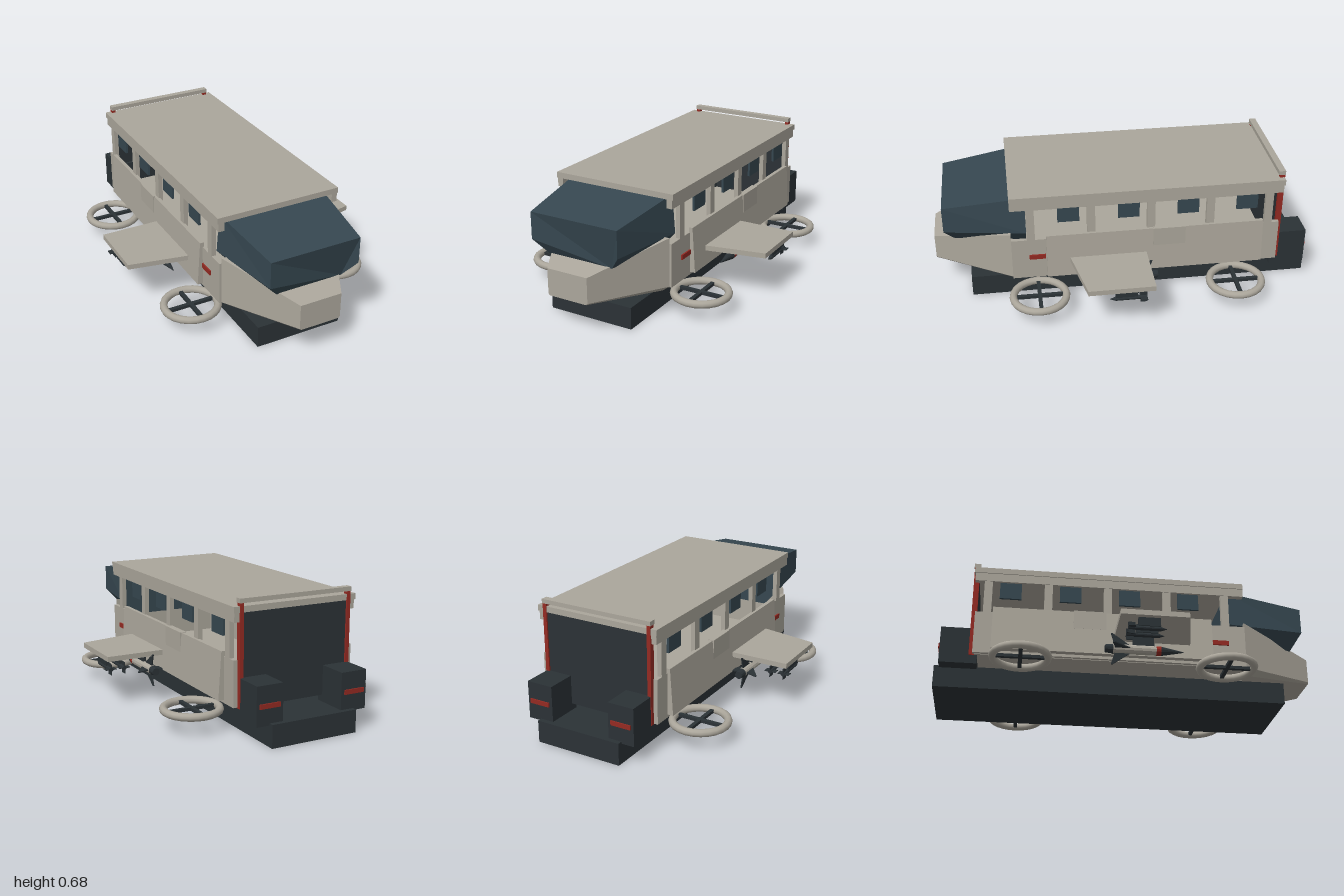
import * as THREE from 'three';

const mat = (color, extra = {}) => new THREE.MeshStandardMaterial({ color, ...extra });
const hull = mat(0xaba69b, { flatShading: true });
const smoothHull = mat(0xaba69b);
const dark = mat(0x2b3236, { flatShading: true });
const glass = mat(0x364750, { flatShading: true });
const red = mat(0x942a22, { flatShading: true });

function add(parent, name, geometry, material) {
  const mesh = new THREE.Mesh(geometry, material);
  mesh.name = name;
  parent.add(mesh);
  return mesh;
}

// Box given by its limits on each axis
function box(parent, name, material, [x0, x1], [y0, y1], [z0, z1]) {
  const mesh = add(parent, name, new THREE.BoxGeometry(x1 - x0, y1 - y0, z1 - z0), material);
  mesh.position.set((x0 + x1) / 2, (y0 + y1) / 2, (z0 + z1) / 2);
  return mesh;
}

// Closed solid between two symmetric sections; each lists its +x points from bottom to top
function loft(back, front) {
  const ring = half => [...half, ...[...half].reverse().map(([x, y, z]) => [-x, y, z])];
  const a = ring(back), b = ring(front), n = a.length, v = [];
  for (let i = 0; i < n; i++) {
    const j = (i + 1) % n;
    v.push(...a[i], ...a[j], ...b[j], ...a[i], ...b[j], ...b[i]);
  }
  for (let i = 1; i < n - 1; i++) {
    v.push(...b[0], ...b[i], ...b[i + 1], ...a[0], ...a[i + 1], ...a[i]);
  }
  const g = new THREE.BufferGeometry();
  g.setAttribute('position', new THREE.Float32BufferAttribute(v, 3));
  g.computeVertexNormals();
  return g;
}

// Flat outline pushed out to a depth
function slab(points, depth) {
  const shape = new THREE.Shape(points.map(p => new THREE.Vector2(...p)));
  return new THREE.ExtrudeGeometry(shape, { depth, bevelEnabled: false });
}

// Cylinder or cone along z, with the front radius at z1
function rod(parent, name, material, rFront, rBack, z0, z1) {
  const g = new THREE.CylinderGeometry(rFront, rBack, z1 - z0, 12).rotateX(Math.PI / 2);
  add(parent, name, g, material).position.z = (z0 + z1) / 2;
}

function liftFan(z) {
  const fan = new THREE.Group();
  fan.name = 'liftFan';
  fan.position.set(0.427, 0.1, z);
  add(fan, 'fanRing', new THREE.TorusGeometry(0.138, 0.02, 10, 24).rotateX(Math.PI / 2), smoothHull);
  box(fan, 'fanBar', dark, [-0.13, 0.13], [-0.008, 0.008], [-0.01, 0.01]);
  box(fan, 'fanCrossBar', dark, [-0.01, 0.01], [-0.008, 0.008], [-0.13, 0.13]);
  return fan;
}

function largeMissile() {
  const m = new THREE.Group();
  m.name = 'largeMissile';
  m.position.set(0.418, 0.175, 0);
  rod(m, 'missileNose', dark, 0.002, 0.024, 0.135, 0.25);
  rod(m, 'missileBand', red, 0.024, 0.024, 0.11, 0.135);
  rod(m, 'missileBody', hull, 0.024, 0.024, -0.11, 0.11);
  rod(m, 'missileTail', dark, 0.024, 0.02, -0.15, -0.11);
  // Swept fins around the tail
  for (let i = 0; i < 4; i++) {
    const fin = slab([[0.02, 0.02], [0.085, 0.11], [0.085, 0.12], [0.02, 0.1]], 0.006);
    fin.translate(0, 0, -0.003).rotateX(-Math.PI / 2).rotateZ(i * Math.PI / 2);
    // Outline y now runs toward the tail
    add(m, 'missileFin', fin, dark);
  }
  box(m, 'missilePylon', dark, [-0.008, 0.008], [0.015, 0.077], [-0.01, 0.1]);
  return m;
}

function smallMissile(x) {
  const m = new THREE.Group();
  m.name = 'smallMissile';
  m.position.set(x, 0.193, 0.03);
  rod(m, 'smallMissileNose', dark, 0.001, 0.011, 0.07, 0.1);
  rod(m, 'smallMissileBody', dark, 0.011, 0.011, -0.09, 0.07);
  box(m, 'smallMissileFin', dark, [-0.03, 0.03], [-0.002, 0.002], [-0.09, -0.055]);
  box(m, 'smallMissileFin', dark, [-0.002, 0.002], [-0.03, 0.03], [-0.09, -0.055]);
  box(m, 'smallMissilePylon', dark, [-0.01, 0.01], [0.01, 0.06], [-0.04, 0.07]);
  return m;
}

// Everything on the +x half
function buildSide() {
  const side = new THREE.Group();

  // Lower wall, window posts, panes and rail
  box(side, 'lowerWall', hull, [0.31, 0.332], [0.155, 0.385], [-0.81, 0.6]);
  box(side, 'roofRail', hull, [0.305, 0.335], [0.565, 0.612], [-0.82, 0.6]);
  for (let i = 0; i < 5; i++) {
    const z = 0.498 - i * 0.312;
    box(side, 'windowPost', hull, [0.308, 0.332], [0.38, 0.57], [z - 0.021, z + 0.021]);
    if (i < 4) box(side, 'windowPane', glass, [0.31, 0.322], [0.475, 0.565], [z - 0.252, z - 0.14]);
  }

  // Flared armour skirt with its hatch
  const skirt = slab([[0.325, 0.17], [0.362, 0.17], [0.346, 0.41], [0.325, 0.41]], 1.14);
  add(side, 'sideSkirt', skirt.translate(0, 0, -0.72), hull);
  box(side, 'sideHatch', hull, [0.32, 0.353], [0.31, 0.412], [-0.305, -0.135]);
  box(side, 'sideLight', red, [0.325, 0.34], [0.27, 0.295], [0.425, 0.51]);

  // Wing with a swept leading edge
  const wing = slab([[0.33, 0.1], [0.665, 0.1], [0.665, -0.24], [0.33, -0.305]].reverse(), 0.027);
  add(side, 'wing', wing.rotateX(-Math.PI / 2).translate(0, 0.248, 0), hull);
  side.add(largeMissile(), smallMissile(0.555), smallMissile(0.63));
  side.add(liftFan(0.47), liftFan(-0.57));

  // Tail post, rear box and lamp
  box(side, 'rearPost', red, [0.288, 0.308], [0.15, 0.657], [-0.828, -0.8]);
  box(side, 'rearBox', dark, [0.163, 0.305], [0.105, 0.3], [-0.975, -0.785]);
  box(side, 'rearLamp', red, [0.18, 0.29], [0.19, 0.213], [-0.982, -0.97]);
  return side;
}

export function createModel() {
  const model = new THREE.Group();
  model.name = 'hoverBus';

  // Chassis, floor, roof and tail
  box(model, 'chassis', dark, [-0.235, 0.235], [0, 0.115], [-1, 0.82]);
  box(model, 'floor', hull, [-0.315, 0.315], [0.152, 0.168], [-0.8, 0.6]);
  box(model, 'roof', hull, [-0.34, 0.34], [0.61, 0.64], [-0.825, 0.6]);
  box(model, 'rearWall', dark, [-0.29, 0.29], [0.15, 0.612], [-0.82, -0.8]);
  box(model, 'rearSpoiler', hull, [-0.31, 0.31], [0.655, 0.677], [-0.83, -0.795]);

  // Tapered nose
  add(model, 'nose', loft(
    [[0.28, 0.128, 0.6], [0.32, 0.158, 0.6], [0.32, 0.415, 0.6]],
    [[0.105, 0.175, 1], [0.113, 0.183, 1], [0.113, 0.315, 1]]
  ), hull);

  // Wraparound cab window
  add(model, 'cabWindow', loft(
    [[0.24, 0.335, 0.52], [0.305, 0.41, 0.52], [0.29, 0.61, 0.52]],
    [[0.18, 0.335, 0.89], [0.245, 0.415, 0.94], [0.245, 0.555, 0.94]]
  ), glass);

  // Both sides, the second mirrored
  for (const s of [1, -1]) {
    const side = buildSide();
    side.name = s > 0 ? 'leftSide' : 'rightSide';
    side.scale.x = s;
    model.add(side);
  }
  return model;
}
